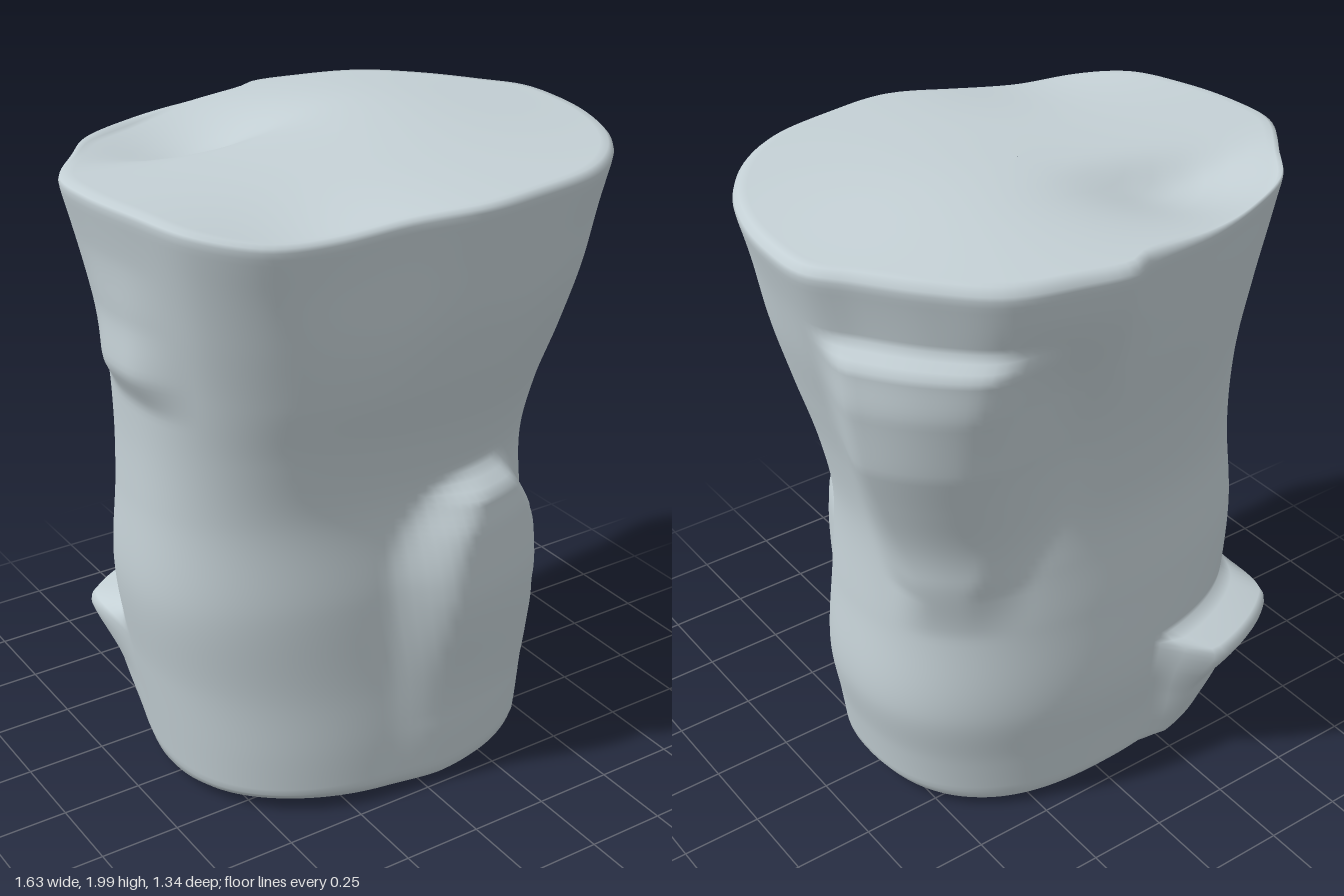
import * as THREE from 'three';

const N = 160; // points around each ring

// Rim outline seen from above: x, z
const RIM = [
  [0.82, 0], [0.79, 0.18], [0.72, 0.35], [0.6, 0.5], [0.45, 0.6], [0.23, 0.65], [0.03, 0.67],
  [-0.18, 0.615], [-0.38, 0.575], [-0.58, 0.525], [-0.72, 0.4], [-0.785, 0.2], [-0.82, 0],
  [-0.81, -0.17], [-0.69, -0.34], [-0.58, -0.47], [-0.4, -0.56], [-0.2, -0.62], [0.04, -0.645],
  [0.11, -0.675], [0.25, -0.65], [0.45, -0.59], [0.6, -0.45], [0.73, -0.28], [0.81, -0.17],
];

// Trunk sections: y, xMin, xMax, zMin, zMax
const SECTIONS = [
  [0.0, -0.62, 0.575, -0.47, 0.47], [0.2, -0.65, 0.605, -0.49, 0.47], [0.4, -0.68, 0.64, -0.51, 0.46],
  [0.7, -0.725, 0.615, -0.49, 0.45], [1.0, -0.71, 0.6, -0.46, 0.43], [1.2, -0.705, 0.63, -0.48, 0.47],
  [1.4, -0.715, 0.68, -0.52, 0.54], [1.6, -0.745, 0.735, -0.58, 0.6], [1.8, -0.785, 0.78, -0.64, 0.64],
  [1.95, -0.82, 0.82, -0.675, 0.67],
];

// Swellings: facing direction (x, z), depth by height, left and right limits,
// edge softness, and how far the limits close in between two heights
const BUMPS = [
  { // front slab
    dir: [0, 1], depth: [[0, 0.02], [0.25, 0.035], [0.68, 0.11], [0.88, 0.115], [0.97, 0.1], [1.04, 0]],
    from: -0.13, to: 0.49, soft: [0.22, 0.07], taper: 0.16, taperY: [0.72, 1.04],
  },
  { // tall slab at the back right
    dir: [0.8, -0.6], depth: [[0.7, 0], [0.92, 0.05], [1.35, 0.105], [1.55, 0.09], [1.69, 0.065], [1.75, 0]],
    from: -0.37, to: 0.33, soft: [0.15, 0.17], taper: 0.14, taperY: [1.5, 0.85],
  },
  { // low ledge at the back left
    dir: [-0.6, -0.8], depth: [[0, 0.02], [0.25, 0.08], [0.42, 0.165], [0.45, 0.14], [0.48, 0]],
    from: -0.16, to: 0.44, soft: [0.06, 0.22], taper: 0, taperY: [0, 1],
  },
  { // small lump on the left side
    dir: [-1, 0.05], depth: [[1.32, 0], [1.44, 0.045], [1.6, 0.015], [1.78, 0]],
    from: -0.25, to: 0.25, soft: [0.2, 0.2], taper: 0, taperY: [0, 1],
  },
  { // hollow beside the tall slab
    dir: [0.3, -0.95], depth: [[0.9, 0], [1.3, -0.03], [1.55, -0.03], [1.85, 0]],
    from: -0.3, to: 0.14, soft: [0.2, 0.2], taper: 0, taperY: [0, 1],
  },
];

const smooth = THREE.MathUtils.smoothstep;
const lerp = THREE.MathUtils.lerp;
const hill = (x, z, cx, cz, rx, rz) => Math.exp(-(((x - cx) / rx) ** 2) - ((z - cz) / rz) ** 2);

function depthAt(table, y) {
  if (y <= table[0][0]) return table[0][1];
  for (let i = 1; i < table.length; i++) {
    const [y0, d0] = table[i - 1], [y1, d1] = table[i];
    if (y <= y1) {
      const t = (y - y0) / (y1 - y0);
      return lerp(d0, d1, (t + smooth(t, 0, 1)) / 2);
    }
  }
  return 0;
}

// Push a point of the trunk outward along each swelling's direction
function swell(x, y, z) {
  let px = x, pz = z;
  for (const b of BUMPS) {
    const [dx, dz] = b.dir;
    if (x * dx + z * dz < 0.1) continue;
    const u = x * dz - z * dx;
    const [ya, yb] = b.taperY;
    const t = THREE.MathUtils.clamp((y - ya) / (yb - ya), 0, 1);
    const narrow = b.taper * t * t;
    const lo = b.from + narrow, hi = b.to - narrow;
    const w = smooth(u, lo, lo + b.soft[0]) * (1 - smooth(u, hi - b.soft[1], hi));
    const d = depthAt(b.depth, y) * w;
    px += dx * d;
    pz += dz * d;
  }
  return [px, pz];
}

// Sag of the rim at the front left
const rimSag = (x, z) => 0.045 * hill(x, z, -0.46, 0.56, 0.3, 0.3);

// Height of the top face: low broad dome with a shallow hollow, steeper at its front edge
function topHeight(x, z) {
  const dome = 0.045 * hill(x, z, 0.25, -0.12, 0.45, z > -0.12 ? 0.42 : 0.48);
  const dish = 0.07 * hill(x, z, -0.32, -0.29, 0.26, z > -0.29 ? 0.11 : 0.26);
  return 1.95 + dome - dish - rimSag(x, z);
}

export function createModel() {
  const group = new THREE.Group();
  const stone = new THREE.MeshStandardMaterial({ color: 0xc4d0d5 });
  stone.name = 'blue grey stone';

  const rim = new THREE.CatmullRomCurve3(RIM.map(([x, z]) => new THREE.Vector3(x / 0.82, 0, z / 0.672)), true)
    .getSpacedPoints(N);
  const section = new THREE.CubicInterpolant(
    SECTIONS.map((s) => s[0]), SECTIONS.flatMap((s) => s.slice(1)), 4);

  // Rings from the base centre, up the wall, to the top centre: [y, scale, isTop]
  const rings = [[0.012, 0.001], [0.012, 0.4], [0.014, 0.75], [0.018, 0.9], [0.028, 0.955], [0.05, 0.99]];
  for (let y = 0.07; y < 1.895; y += 0.02) rings.push([y, 1]);
  rings.push([1.91, 1], [1.93, 0.998], [1.942, 0.99]);
  for (const s of [0.97, 0.94, 0.88, 0.8, 0.7, 0.6, 0.5, 0.4, 0.3, 0.2, 0.1, 0.001]) rings.push([1.95, s, true]);

  const positions = [], indices = [];
  rings.forEach(([y, scale, isTop], i) => {
    const [x0, x1, z0, z1] = section.evaluate(y);
    const cx = (x0 + x1) / 2, cz = (z0 + z1) / 2;
    const mix = smooth(y, 1.35, 1.94);
    for (let k = 0; k < N; k++) {
      const a = (k / N) * Math.PI * 2, c = Math.cos(a), s = Math.sin(a);
      const ux = lerp(Math.sign(c) * Math.abs(c) ** 0.88, rim[k].x, mix);
      const uz = lerp(Math.sign(s) * Math.abs(s) ** 0.88, rim[k].z, mix);
      const [wx, wz] = swell(cx + (ux * (x1 - x0)) / 2, y, cz + (uz * (z1 - z0)) / 2);
      const x = cx + (wx - cx) * scale, z = cz + (wz - cz) * scale;
      // slightly uneven foot
      const foot = y < 0.06 ? 0.012 * Math.sin(3 * a + 1) * scale : 0;
      const wallY = y + foot - rimSag(x, z) * smooth(y, 1.6, 1.95);
      positions.push(x, isTop ? topHeight(x, z) : wallY, z);
      if (i < rings.length - 1) {
        const p = i * N + k, q = i * N + ((k + 1) % N);
        indices.push(p, p + N, q + N, p, q + N, q);
      }
    }
  });

  const geometry = new THREE.BufferGeometry();
  geometry.setAttribute('position', new THREE.Float32BufferAttribute(positions, 3));
  geometry.setIndex(indices);
  geometry.computeVertexNormals();
  const mesh = new THREE.Mesh(geometry, stone);
  mesh.name = 'stonePillar';
  group.add(mesh);
  return group;
}
